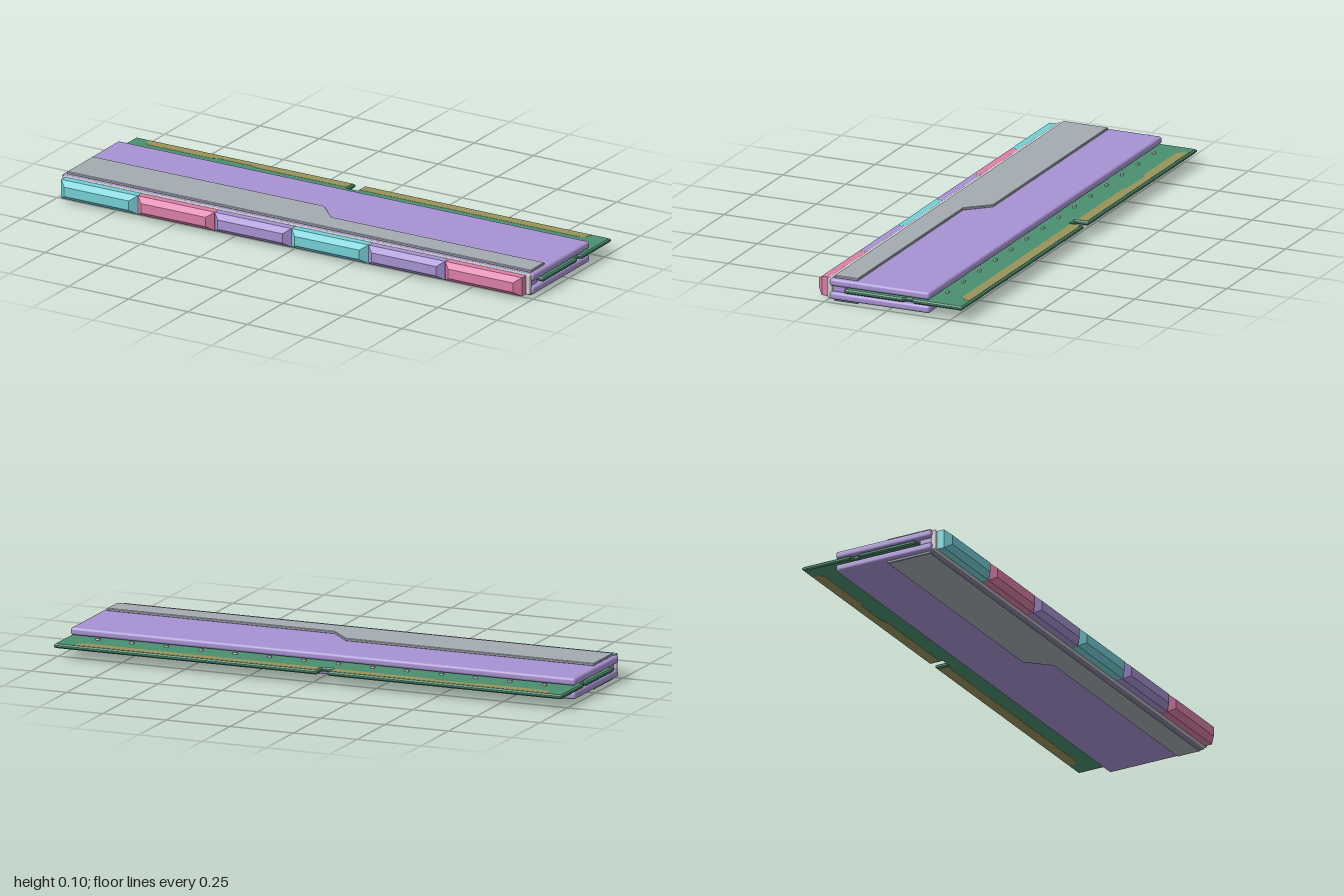
import * as THREE from 'three';
import { RoundedBoxGeometry } from 'three/addons/geometries/RoundedBoxGeometry.js';

const mat = (name, color) => {
  const m = new THREE.MeshStandardMaterial({ color });
  m.name = name;
  return m;
};

const MID = 0.0485; // height of the board's middle plane

// Horizontal plate from [x, z] outline, bottom at y0, bevelled inside its outline
function plate(points, y0, height, bevel) {
  const shape = new THREE.Shape(points.map(([x, z]) => new THREE.Vector2(x, -z)));
  const g = new THREE.ExtrudeGeometry(shape, {
    depth: height - 2 * bevel, bevelEnabled: bevel > 0, bevelThickness: bevel,
    bevelSize: bevel, bevelOffset: -bevel, bevelSegments: 1,
  });
  g.rotateX(-Math.PI / 2);
  g.translate(0, y0 + bevel, 0);
  return g;
}

// Bar lofted along z from rectangles [z, half width, half height]
function loftBar(sections) {
  const pos = [], idx = [];
  for (const [z, w, h] of sections) pos.push(-w, -h, z, w, -h, z, w, h, z, -w, h, z);
  for (let s = 0; s < sections.length - 1; s++) {
    for (let i = 0; i < 4; i++) {
      const a = s * 4 + i, b = s * 4 + (i + 1) % 4;
      idx.push(a, b, b + 4, a, b + 4, a + 4);
    }
  }
  const e = (sections.length - 1) * 4;
  idx.push(0, 2, 1, 0, 3, 2, e, e + 1, e + 2, e, e + 2, e + 3);
  const g = new THREE.BufferGeometry();
  g.setAttribute('position', new THREE.Float32BufferAttribute(pos, 3));
  g.setIndex(idx);
  const flat = g.toNonIndexed();
  flat.computeVertexNormals();
  return flat;
}

export function createModel() {
  const group = new THREE.Group();
  const purple = mat('purple', 0xa792d2);
  const grey = mat('grey', 0xa3abb2);
  const pale = mat('paleGrey', 0xcfcfcf);
  const green = mat('boardGreen', 0x4a8f70);
  const gold = mat('gold', 0x99945a);
  const teal = mat('teal', 0x74d0d6);
  const pink = mat('pink', 0xdc7fa8);

  const add = (name, geometry, material, x = 0, y = 0, z = 0) => {
    const m = new THREE.Mesh(geometry, material);
    m.name = name;
    m.position.set(x, y, z);
    group.add(m);
    return m;
  };

  // Circuit board with a key slot at the back and a notch in each end
  add('circuitBoard', plate([
    [-0.998, 0.173], [-0.998, -0.06], [-0.985, -0.07], [-0.985, -0.09], [-0.998, -0.10],
    [-0.998, -0.297], [-0.076, -0.297], [-0.076, -0.245], [-0.036, -0.245], [-0.036, -0.297],
    [0.998, -0.297], [0.998, -0.10], [0.985, -0.09], [0.985, -0.07], [0.998, -0.06], [0.998, 0.173],
  ].reverse(), MID - 0.008, 0.016, 0.005), green);

  // Gold contact strips on both faces of the board
  const strips = [
    [[-0.945, -0.29], [-0.935, -0.262], [-0.915, -0.25], [-0.66, -0.25], [-0.63, -0.26],
      [-0.49, -0.26], [-0.46, -0.25], [-0.084, -0.25], [-0.084, -0.29]],
    [[-0.028, -0.29], [-0.028, -0.25], [0.9, -0.25], [0.915, -0.262], [0.925, -0.29]],
  ];
  for (const strip of strips) {
    add('contactsTop', plate(strip, MID + 0.0078, 0.001, 0), gold);
    add('contactsBottom', plate(strip, MID - 0.0088, 0.001, 0), gold);
  }

  // Row of small components on the upper face
  const chip = new THREE.BoxGeometry(0.016, 0.008, 0.008);
  for (let i = 0; i < 14; i++) {
    add('smallComponent', chip, pale, -0.88 + i * 0.135, MID + 0.011, -0.182);
  }

  // Heat spreader shells and the stepped cover plates, mirrored above and below
  const shell = new RoundedBoxGeometry(1.984, 0.028, 0.398, 3, 0.01);
  const cover = [[-0.975, 0.223], [0.975, 0.223], [0.975, 0.128], [0.08, 0.128],
    [0, 0.045], [-0.975, 0.045]];
  for (const side of [1, -1]) {
    const label = side > 0 ? 'Top' : 'Bottom';
    add('heatSpreader' + label, shell, purple, 0, MID + side * 0.0255, 0.036);
    add('coverPlate' + label,
      plate(cover, side > 0 ? MID + 0.0385 : 0, 0.01, 0.002), grey);
  }

  // Spine joining the shells, and the rail that carries the light bar
  add('spine', new THREE.BoxGeometry(1.95, 0.028, 0.048), purple, 0, MID, 0.204);
  add('lightRail', new RoundedBoxGeometry(1.965, 0.076, 0.018, 2, 0.004), pale, 0, MID, 0.238);

  // Six chamfered light segments along the front
  const segment = loftBar([
    [0.243, 0.161, 0.036], [0.275, 0.161, 0.036], [0.297, 0.136, 0.018],
  ]);
  [teal, pink, purple, teal, purple, pink].forEach((m, i) => {
    add('lightSegment', segment, m, (i - 2.5) * 0.323, MID, 0);
  });

  return group;
}
